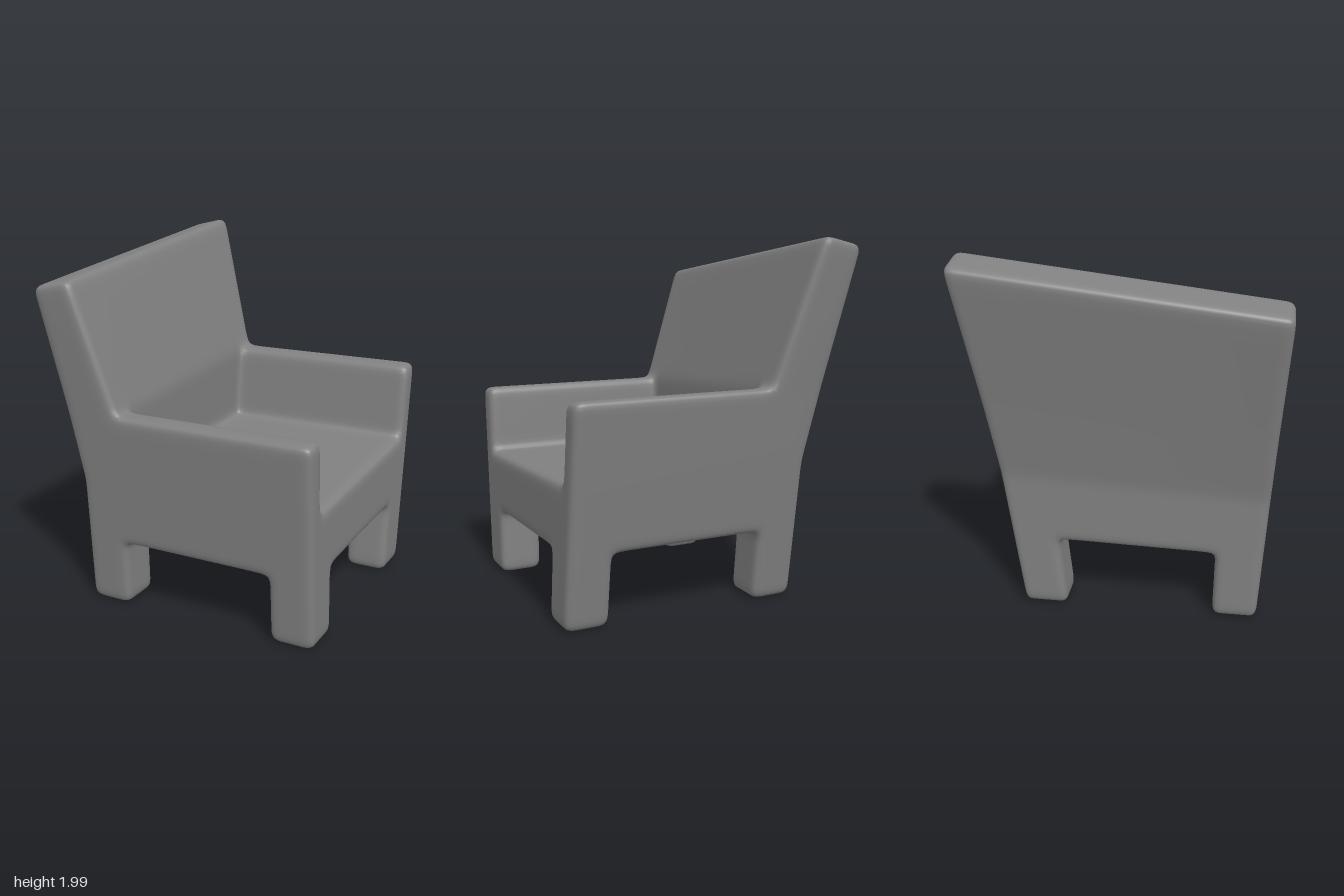
import * as THREE from 'three';

// Feature planes of the chair before it is skewed, with support lines beside each edge
const U = [-0.575, -0.49, -0.415, -0.33, -0.25, 0.46, 0.54, 0.625, 0.7, 0.785];
const V = [0, 0.09, 0.31, 0.39, 0.47, 0.675, 0.755, 0.835, 1.08, 1.16, 1.24, 1.83, 1.91];
const HALF = [0, 0.045, 0.09, 0.1375, 0.188, 0.24];
const W = [...HALF, ...HALF.map((w) => 1 - w).reverse()];
const LINES = [U, V, W];

// Which part fills a point of the unskewed block (null = empty)
function partAt(u, v, w) {
  const edge = Math.min(w, 1 - w);
  if (v < 0.39) return (u < -0.33 || u > 0.54) && edge < 0.188 ? 'legs' : null;
  if (v < 0.755) return 'seat';
  if (u < -0.33) return 'backrest';
  return v < 1.16 && edge < 0.09 ? 'arms' : null;
}

// Lopsided skew: sides flare upward, one side is taller, the backrest leans and tapers
function skew(u, v, w) {
  let x = u, y = v;
  if (u <= -0.33) {
    const t = (u + 0.575) / 0.245;
    const rear = -0.193 * Math.max(0, v - 0.755);
    const front = -0.312 * Math.max(0, v - 1.16);
    x += rear + (front - rear) * t;
    y -= 0.05 * (1 - t) * Math.max(0, v - 1.16) / 0.75;
  }
  const z = THREE.MathUtils.lerp(-0.57 - 0.149 * v, 0.73 + 0.065 * v, w);
  return new THREE.Vector3(x, y * (1 - 0.062 * z), z);
}

// Outer quads of all filled cells
function buildCage() {
  const verts = [], quads = [], ids = new Map();
  const vertex = (c) => {
    const key = c.join();
    if (!ids.has(key)) {
      ids.set(key, verts.length);
      verts.push(skew(U[c[0]], V[c[1]], W[c[2]]));
    }
    return ids.get(key);
  };
  const cell = (c) => {
    if (c.some((n, d) => n < 0 || n > LINES[d].length - 2)) return null;
    return partAt(...c.map((n, d) => (LINES[d][n] + LINES[d][n + 1]) / 2));
  };
  for (let i = 0; i < U.length - 1; i++)
    for (let j = 0; j < V.length - 1; j++)
      for (let k = 0; k < W.length - 1; k++) {
        const c = [i, j, k], part = cell(c);
        if (!part) continue;
        for (let d = 0; d < 3; d++)
          for (const s of [0, 1]) {
            const next = [...c];
            next[d] += s ? 1 : -1;
            if (cell(next)) continue;
            const q = [[0, 0], [1, 0], [1, 1], [0, 1]].map(([a, b]) => {
              const p = [...c];
              p[d] += s;
              p[(d + 1) % 3] += a;
              p[(d + 2) % 3] += b;
              return vertex(p);
            });
            quads.push({ q: s ? q : q.reverse(), part });
          }
      }
  return { verts, quads };
}

// One Catmull-Clark step: rounds outer edges and fillets inner ones
function subdivide({ verts, quads }) {
  const out = verts.map(() => new THREE.Vector3());
  const around = verts.map(() => ({ n: 0, f: new THREE.Vector3(), e: new THREE.Vector3() }));
  const edges = new Map();
  const edgeKey = (a, b) => Math.min(a, b) * 1e6 + Math.max(a, b);
  const faceIds = quads.map(({ q }) => {
    const centre = new THREE.Vector3();
    q.forEach((a) => centre.addScaledVector(verts[a], 0.25));
    q.forEach((a, i) => {
      const b = q[(i + 1) % 4], key = edgeKey(a, b);
      if (!edges.has(key)) edges.set(key, { a, b, sum: new THREE.Vector3(), id: 0 });
      edges.get(key).sum.add(centre);
      around[a].n++;
      around[a].f.add(centre);
    });
    return out.push(centre) - 1;
  });
  for (const e of edges.values()) {
    const ends = verts[e.a].clone().add(verts[e.b]);
    around[e.a].e.addScaledVector(ends, 0.5);
    around[e.b].e.addScaledVector(ends, 0.5);
    e.id = out.push(ends.add(e.sum).multiplyScalar(0.25)) - 1;
  }
  verts.forEach((v, i) => {
    const { n, f, e } = around[i];
    out[i].copy(v).multiplyScalar((n - 3) / n)
      .addScaledVector(f, 1 / (n * n)).addScaledVector(e, 2 / (n * n));
  });
  const finer = [];
  quads.forEach(({ q, part }, fi) => q.forEach((a, i) => {
    const ab = edges.get(edgeKey(a, q[(i + 1) % 4])).id;
    const da = edges.get(edgeKey(a, q[(i + 3) % 4])).id;
    finer.push({ q: [a, ab, faceIds[fi], da], part });
  }));
  return { verts: out, quads: finer };
}

export function createModel() {
  const group = new THREE.Group();
  group.name = 'lopsidedArmchair';
  const material = new THREE.MeshStandardMaterial({ color: 0x808080 });
  const { verts, quads } = subdivide(subdivide(buildCage()));
  const triangles = ({ q: [a, b, c, d] }) => [a, b, c, a, c, d];

  // Smooth normals over the whole skin, so the parts join without seams
  const skin = new THREE.BufferGeometry().setFromPoints(verts);
  skin.setIndex(quads.flatMap(triangles));
  skin.computeVertexNormals();

  for (const name of ['legs', 'seat', 'arms', 'backrest']) {
    skin.setIndex(quads.filter((f) => f.part === name).flatMap(triangles));
    const mesh = new THREE.Mesh(skin.toNonIndexed(), material);
    mesh.name = name;
    group.add(mesh);
  }
  return group;
}
